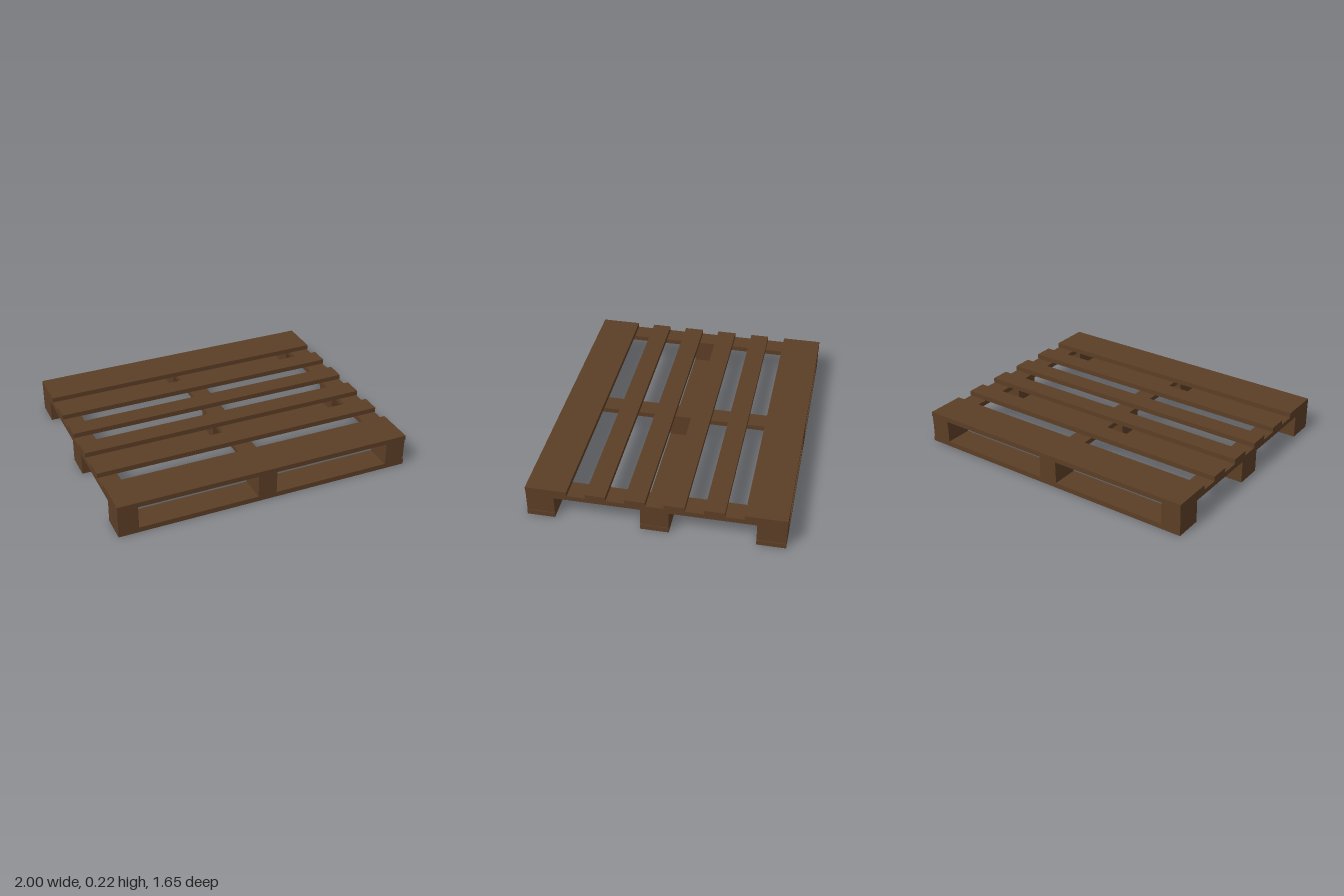
import * as THREE from 'three';

export function createModel() {
  const pallet = new THREE.Group();
  pallet.name = 'pallet';
  const wood = new THREE.MeshStandardMaterial({ color: 0x5b3e26, flatShading: true });

  // Adds a box spanning the given ranges
  function plank(name, [x0, x1], [y0, y1], [z0, z1]) {
    const mesh = new THREE.Mesh(new THREE.BoxGeometry(x1 - x0, y1 - y0, z1 - z0), wood);
    mesh.position.set((x0 + x1) / 2, (y0 + y1) / 2, (z0 + z1) / 2);
    mesh.name = name;
    pallet.add(mesh);
  }

  const length = [-1, 0.997];
  const bottomY = [0, 0.034], blockY = [0.034, 0.154], stringerY = [0.154, 0.187], deckY = [0.187, 0.22];
  const columns = [[-1, -0.868], [-0.067, 0.06], [0.856, 0.992]];
  const rows = [[-0.823, -0.638], [-0.089, 0.092], [0.645, 0.825]];

  // Deck boards: wide outer ones and narrow inner ones
  const deck = [[-0.825, -0.56], [-0.44, -0.312], [-0.19, -0.06], [0.058, 0.19], [0.31, 0.438], [0.558, 0.825]];
  deck.forEach((z) => plank('deckBoard', length, deckY, z));

  // Cross boards under the deck
  columns.forEach((x) => plank('crossBoard', x, stringerY, [-0.825, 0.825]));

  // Bottom boards, each carrying three spacer blocks
  rows.forEach((z) => {
    plank('bottomBoard', length, bottomY, z);
    columns.forEach((x) => plank('spacerBlock', x, blockY, z));
  });

  return pallet;
}
